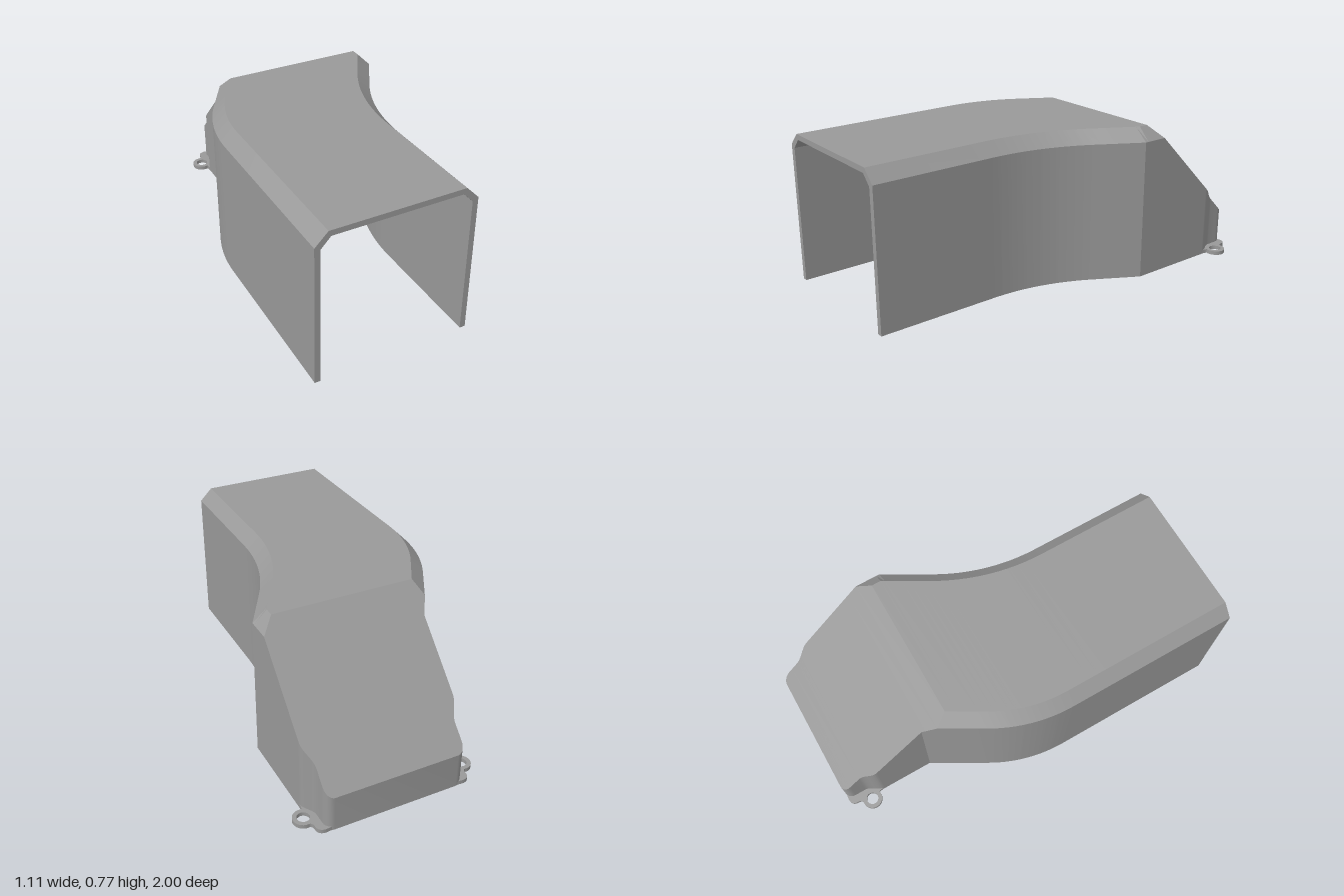
import * as THREE from 'three';
import { toCreasedNormals } from 'three/addons/utils/BufferGeometryUtils.js';

const grey = new THREE.MeshStandardMaterial({ color: 0x999999, side: THREE.DoubleSide });
grey.name = 'plain grey';

const WALL = 0.028, MID_X = 0.0945;

// Plan outline of one side wall as [x, z], from the open front to the middle of the back.
// m is the inward x direction of that wall.
function outline(m, x0, x1, R, zCorner) {
  const bend = Math.PI / 6;
  const run = (x1 - x0 - R * (1 - Math.cos(bend))) / Math.sin(bend);
  const z0 = zCorner + R * Math.sin(bend) + run * Math.cos(bend);
  const pts = [[x0, 1]];
  for (let i = 0; i <= 12; i++) { // sweeping bend
    const a = bend * i / 12;
    pts.push([x0 + R * (1 - Math.cos(a)), z0 - R * Math.sin(a)]);
  }
  pts.push([x1, zCorner]);
  for (let i = 0; i <= 10; i++) { // step inward beside the lug
    const t = i / 10;
    pts.push([x1 + m * 0.039 * t * t * (3 - 2 * t), -0.81 - 0.09 * t]);
  }
  for (let i = 0; i <= 7; i++) { // rounded back corner
    const a = Math.PI / 2 * i / 7;
    pts.push([x1 + m * (0.039 + 0.04 * (1 - Math.cos(a))), -0.96 - 0.04 * Math.sin(a)]);
  }
  pts.push([MID_X, -1]);
  return pts;
}

// Mitred inward offset of an outline
function offset(pts, d, m) {
  const normal = (a, b) => {
    const dx = b[0] - a[0], dz = b[1] - a[1], l = Math.hypot(dx, dz);
    return [-dz / l * m, dx / l * m];
  };
  return pts.map((p, i) => {
    const n1 = normal(pts[Math.max(i - 1, 0)], pts[Math.max(i, 1)]);
    const n2 = i < pts.length - 1 ? normal(p, pts[i + 1]) : n1;
    const k = d / (1 + n1[0] * n2[0] + n1[1] * n2[1]);
    return [p[0] + (n1[0] + n2[0]) * k, p[1] + (n1[1] + n2[1]) * k];
  });
}

function xAt(pts, z) {
  for (let i = 0; i < pts.length - 1; i++) {
    const [a, b] = [pts[i], pts[i + 1]];
    if (z <= a[1] + 1e-6 && z >= b[1] - 1e-6 && a[1] - b[1] > 1e-7)
      return a[0] + (b[0] - a[0]) * (a[1] - z) / (a[1] - b[1]);
  }
  return pts[pts.length - 2][0];
}

const sides = [
  { m: 1, pts: outline(1, -0.555, -0.295, 0.8, -0.54) },
  { m: -1, pts: outline(-1, 0.222, 0.484, 1.0, -0.345) },
];

// Cross-sections of one skin: wall, chamfer, roof, chamfer, wall, cut by the 45 degree back slope
function sections(d, inset, shoulder, top, drop) {
  const walls = sides.map(s => offset(s.pts, d, s.m));
  const edges = sides.map(s => offset(s.pts, inset, s.m));
  const zEnd = -1 + d;
  const zs = [...walls.flat(), ...edges.flat()].map(p => p[1])
    .concat(shoulder - 1.18 + drop, top - 1.18 + drop, zEnd)
    .filter(z => z >= zEnd - 1e-7 && z <= 1)
    .sort((a, b) => b - a)
    .filter((z, i, all) => i === 0 || all[i - 1] - z > 1e-5);
  return zs.map(z => {
    const slope = z + 1.18 - drop;
    const h1 = Math.min(shoulder, slope), h2 = Math.min(top, slope);
    const t = Math.max(0, (h2 - shoulder) / (top - shoulder));
    const [l, r] = walls.map(w => xAt(w, z));
    const [le, re] = edges.map(e => xAt(e, z));
    return [[l, 0, z], [l, h1, z], [l + (le - l) * t, h2, z],
      [r + (re - r) * t, h2, z], [r, h1, z], [r, 0, z]];
  });
}

// Collects quads into a smooth geometry with sharp creases
function surface(fill) {
  const pos = [];
  const tri = (a, b, c) => {
    const [A, B, C] = [a, b, c].map(p => new THREE.Vector3(...p));
    if (B.clone().sub(A).cross(C.clone().sub(A)).length() > 1e-9) pos.push(...a, ...b, ...c);
  };
  fill((a, b, c, d, flip) => {
    if (flip) [b, d] = [d, b];
    tri(a, b, c);
    tri(a, c, d);
  });
  let g = new THREE.BufferGeometry();
  g.setAttribute('position', new THREE.Float32BufferAttribute(pos, 3));
  g.scale(100, 100, 100); // keeps small features apart while creasing
  g = toCreasedNormals(g, 0.3);
  return g.scale(0.01, 0.01, 0.01);
}

function skin(rows, flip) {
  return surface(quad => {
    for (let k = 0; k < rows.length - 1; k++)
      for (let j = 0; j < 5; j++)
        quad(rows[k][j], rows[k][j + 1], rows[k + 1][j + 1], rows[k + 1][j], flip);
    const e = rows[rows.length - 1]; // upright back wall
    quad(e[0], e[1], e[4], e[5], flip);
  });
}

// Flat lug with a screw hole, filling the step in the wall
function lug(m, x1) {
  const X = u => x1 - m * u;
  const cu = 0.02, cy = 0.89, r = 0.05;
  const s = new THREE.Shape();
  s.moveTo(X(0), 0.81);
  s.quadraticCurveTo(X(0.001), 0.835, X(0.006), 0.842);
  for (let i = 0; i <= 24; i++) {
    const a = (-105 + 205 * i / 24) * Math.PI / 180;
    s.lineTo(X(cu + r * Math.cos(a)), cy + r * Math.sin(a));
  }
  s.quadraticCurveTo(X(0), 0.945, X(0), 0.962);
  s.quadraticCurveTo(X(0), 1, X(-0.04), 1);
  s.lineTo(X(-0.085), 0.995);
  s.lineTo(X(-0.05), 0.96);
  s.lineTo(X(-0.05), 0.9);
  s.lineTo(X(-0.03), 0.855);
  s.lineTo(X(-0.01), 0.81);
  s.closePath();
  const hole = new THREE.Path();
  hole.absarc(X(cu), cy, 0.03, 0, Math.PI * 2, true);
  s.holes.push(hole);
  const g = new THREE.ExtrudeGeometry(s, { depth: 0.02, bevelEnabled: false, curveSegments: 10 });
  g.rotateX(-Math.PI / 2).scale(100, 100, 100);
  return toCreasedNormals(g, 0.7).scale(0.01, 0.01, 0.01);
}

export function createModel() {
  const group = new THREE.Group();
  group.name = 'ductCover';
  const add = (name, geometry) => {
    const mesh = new THREE.Mesh(geometry, grey);
    mesh.name = name;
    group.add(mesh);
  };

  const outer = sections(0, 0.063, 0.707, 0.77, 0);
  const inner = sections(WALL, 0.075, 0.693, 0.743, 0.04);
  add('outerShell', skin(outer, false));
  add('innerShell', skin(inner, true));

  // Rim around the open front and along the bottom edge
  add('rim', surface(quad => {
    for (let j = 0; j < 5; j++)
      quad(outer[0][j], inner[0][j], inner[0][j + 1], outer[0][j + 1], false);
    for (const { m, pts } of sides) {
      const at = p => [p[0], 0, p[1]];
      const q = offset(pts, WALL, m);
      for (let i = 0; i < pts.length - 1; i++)
        quad(at(pts[i]), at(pts[i + 1]), at(q[i + 1]), at(q[i]), m < 0);
    }
  }));

  add('rightLug', lug(1, -0.295));
  add('leftLug', lug(-1, 0.484));
  return group;
}
